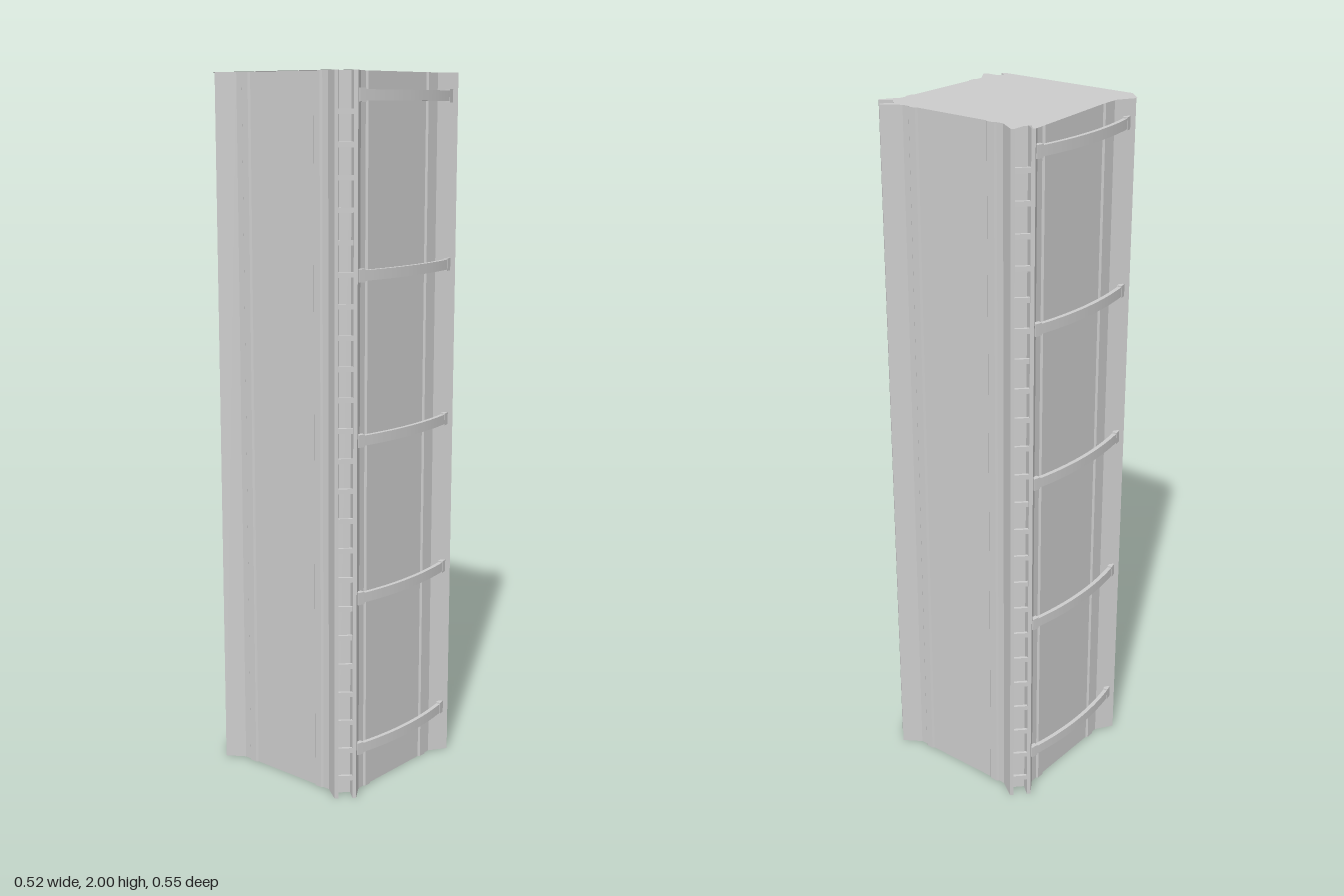
import * as THREE from 'three';

const H = 2;

export function createModel() {
  const model = new THREE.Group();
  model.name = 'tower';
  const mat = new THREE.MeshStandardMaterial({ color: 0xcccccc, flatShading: true, side: THREE.DoubleSide });
  const add = (geo, name, parent = model) => {
    const mesh = new THREE.Mesh(geo, mat);
    mesh.name = name;
    parent.add(mesh);
    return mesh;
  };

  // Half of one corner (x, z): wall rail, flared fin, notch; mirrored over the diagonal
  const half = [[.225, .113], [.23, .118], [.23, .14], [.225, .145], [.225, .165], [.258, .215], [.25, .222], [.222, .199]];
  const corner = [...half, ...half.map(([x, z]) => [z, x]).reverse()];
  const turn = (pts, k) => {
    for (let i = 0; i < k; i++) pts = pts.map(([x, z]) => [-z, x]);
    return pts;
  };
  const profile = [0, 1, 2, 3].flatMap(k => turn(corner, k));

  // Walls: profile swept straight up, open underneath
  const pos = [];
  profile.forEach(([ax, az], i) => {
    const [bx, bz] = profile[(i + 1) % profile.length];
    pos.push(ax, 0, az, ax, H, az, bx, 0, bz);
    pos.push(ax, H, az, bx, H, bz, bx, 0, bz);
  });
  const walls = new THREE.BufferGeometry();
  walls.setAttribute('position', new THREE.Float32BufferAttribute(pos, 3));
  walls.computeVertexNormals();
  add(walls, 'walls');

  // Top plate: follows the walls on two sides, overhangs at the back and one side
  const capPts = [
    [-.26, -.217], [-.217, -.26], [-.168, -.23], [-.118, -.229], [.215, -.26], [.222, -.254],
    [.2, -.234], [.213, -.222], [.252, -.222], [.258, -.215], [.225, -.165], [.225, -.145],
    [.23, -.14], [.23, -.118], [.225, -.113],
    ...corner, ...turn(corner, 1).slice(0, 6),
    [-.222, .25], [-.222, .214], [-.234, .2], [-.254, .222], [-.26, .215],
  ];
  const capShape = new THREE.Shape(capPts.map(([x, z]) => new THREE.Vector2(x, -z)));
  add(new THREE.ShapeGeometry(capShape).rotateX(-Math.PI / 2).translate(0, H, 0), 'topPlate');

  // Ladder rungs between the fins of every corner
  const rungGeo = new THREE.BoxGeometry(.052, .014, .008);
  for (const sx of [-1, 1]) for (const sz of [-1, 1]) {
    const ladder = new THREE.Group();
    ladder.name = 'cornerLadder';
    ladder.position.set(sx * .232, 0, sz * .232);
    ladder.rotation.y = sx * sz * Math.PI / 4;
    for (let i = 0; i < 23; i++) add(rungGeo, 'rung', ladder).position.y = .06 + i * .0835;
    model.add(ladder);
  }

  // Curved bars with slightly taller ends across front and back
  const R = .92, T = .012, A = .219;
  const arc = (from, to, height, grow = 0) => {
    const s = new THREE.Shape();
    s.absarc(0, 0, R + grow, Math.PI / 2 - from, Math.PI / 2 - to, true);
    s.absarc(0, 0, R - T - grow, Math.PI / 2 - to, Math.PI / 2 - from, false);
    return new THREE.ExtrudeGeometry(s, { depth: height, bevelEnabled: false, curveSegments: 12 })
      .rotateX(Math.PI / 2).translate(0, height / 2, .273 - R);
  };
  const barGeo = arc(-A, A, .028);
  const endGeos = [arc(-A, -A + .022, .035, .001), arc(A - .022, A, .035, .001)];
  for (const side of [0, 1]) for (const y of [.14, .585, 1.03, 1.475, 1.938]) {
    const bar = new THREE.Group();
    bar.name = side ? 'backBar' : 'frontBar';
    bar.position.y = y;
    bar.rotation.y = side * Math.PI;
    add(barGeo, 'barSpan', bar);
    endGeos.forEach(g => add(g, 'barEnd', bar));
    model.add(bar);
  }
  return model;
}
